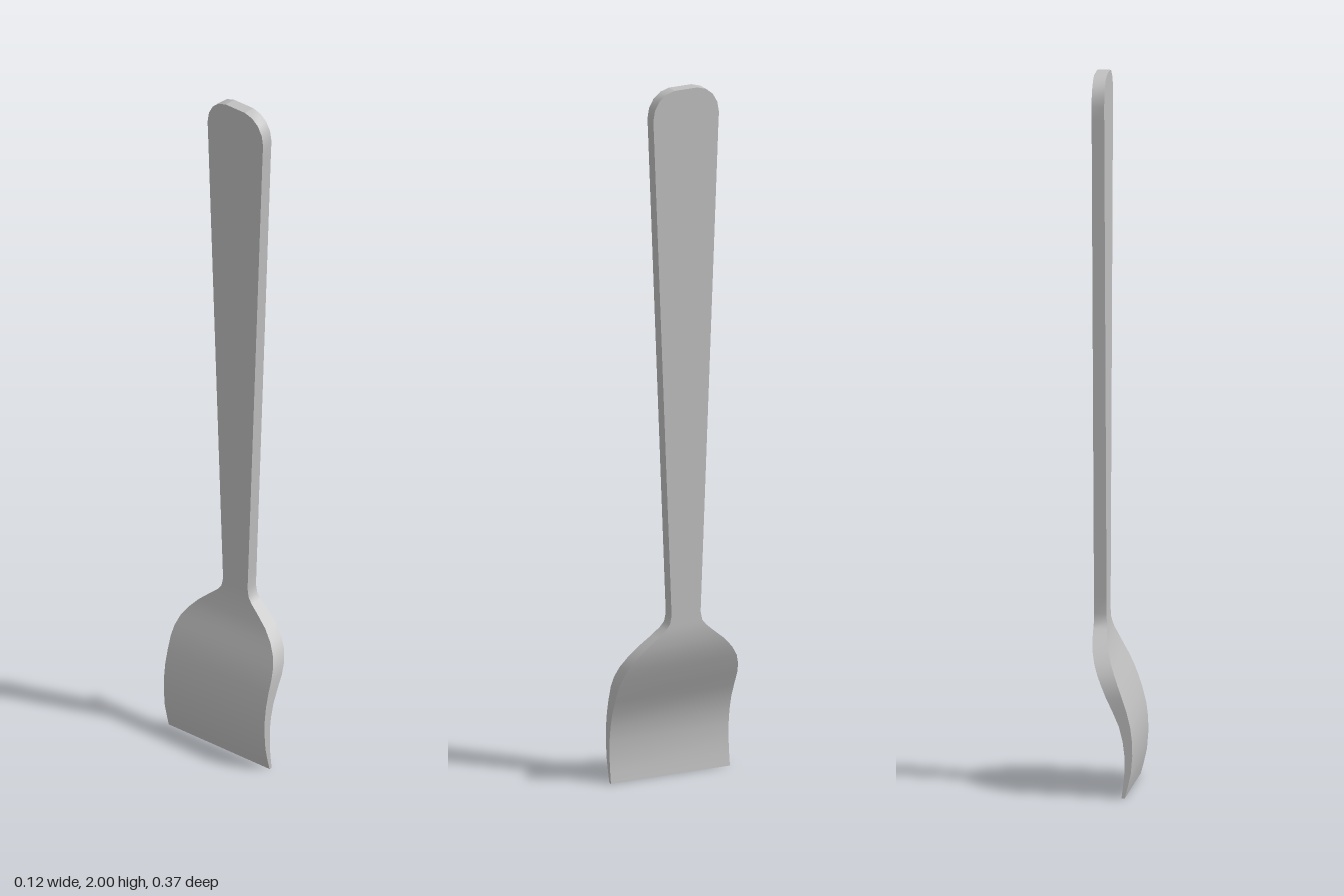
import * as THREE from 'three';

// Cross-sections from blade tip to handle end: [y, back x, front x, half width]
const SECTIONS = [
  [0, -0.042, -0.033, 0.185], [0.03, -0.05, -0.037, 0.185], [0.07, -0.059, -0.041, 0.185],
  [0.12, -0.063, -0.041, 0.185], [0.16, -0.062, -0.036, 0.185], [0.2, -0.057, -0.026, 0.185],
  [0.24, -0.047, -0.009, 0.185], [0.28, -0.034, 0.01, 0.185], [0.31, -0.023, 0.023, 0.181],
  [0.34, -0.011, 0.036, 0.17], [0.37, 0.001, 0.047, 0.15], [0.4, 0.011, 0.055, 0.122],
  [0.43, 0.019, 0.059, 0.085], [0.45, 0.022, 0.06, 0.062], [0.465, 0.024, 0.06, 0.05],
  [0.49, 0.025, 0.06, 0.045], [0.54, 0.025, 0.06, 0.047], [1.88, 0.025, 0.06, 0.1],
  [1.92, 0.025, 0.06, 0.102], [1.95, 0.025, 0.06, 0.097], [1.975, 0.025, 0.06, 0.083],
  [1.992, 0.025, 0.06, 0.062], [2, 0.025, 0.06, 0.035],
];

function surface(name, positions, index, material) {
  const geometry = new THREE.BufferGeometry();
  geometry.setAttribute('position', new THREE.Float32BufferAttribute(positions, 3));
  geometry.setIndex(index);
  geometry.computeVertexNormals();
  const mesh = new THREE.Mesh(geometry, material);
  mesh.name = name;
  return mesh;
}

export function createModel() {
  const group = new THREE.Group();
  group.name = 'scraper';
  const metal = new THREE.MeshStandardMaterial({ color: 0xc0c0c0 });
  metal.name = 'light grey metal';

  const rings = SECTIONS.map(([y, x0, x1, h]) => [[x1, y, h], [x1, y, -h], [x0, y, -h], [x0, y, h]]);

  // Four long faces, smooth along the length with sharp edges between them
  ['frontFace', 'rightEdge', 'backFace', 'leftEdge'].forEach((name, side) => {
    const positions = [], index = [];
    rings.forEach((ring, i) => {
      positions.push(...ring[side], ...ring[(side + 1) % 4]);
      if (i > 0) {
        const a = 2 * (i - 1);
        index.push(a, a + 1, a + 3, a, a + 3, a + 2);
      }
    });
    group.add(surface(name, positions, index, metal));
  });

  // Blade tip and handle end
  group.add(surface('bladeTip', rings[0].flat(), [0, 2, 1, 0, 3, 2], metal));
  group.add(surface('handleEnd', rings[rings.length - 1].flat(), [0, 1, 2, 0, 2, 3], metal));
  return group;
}
